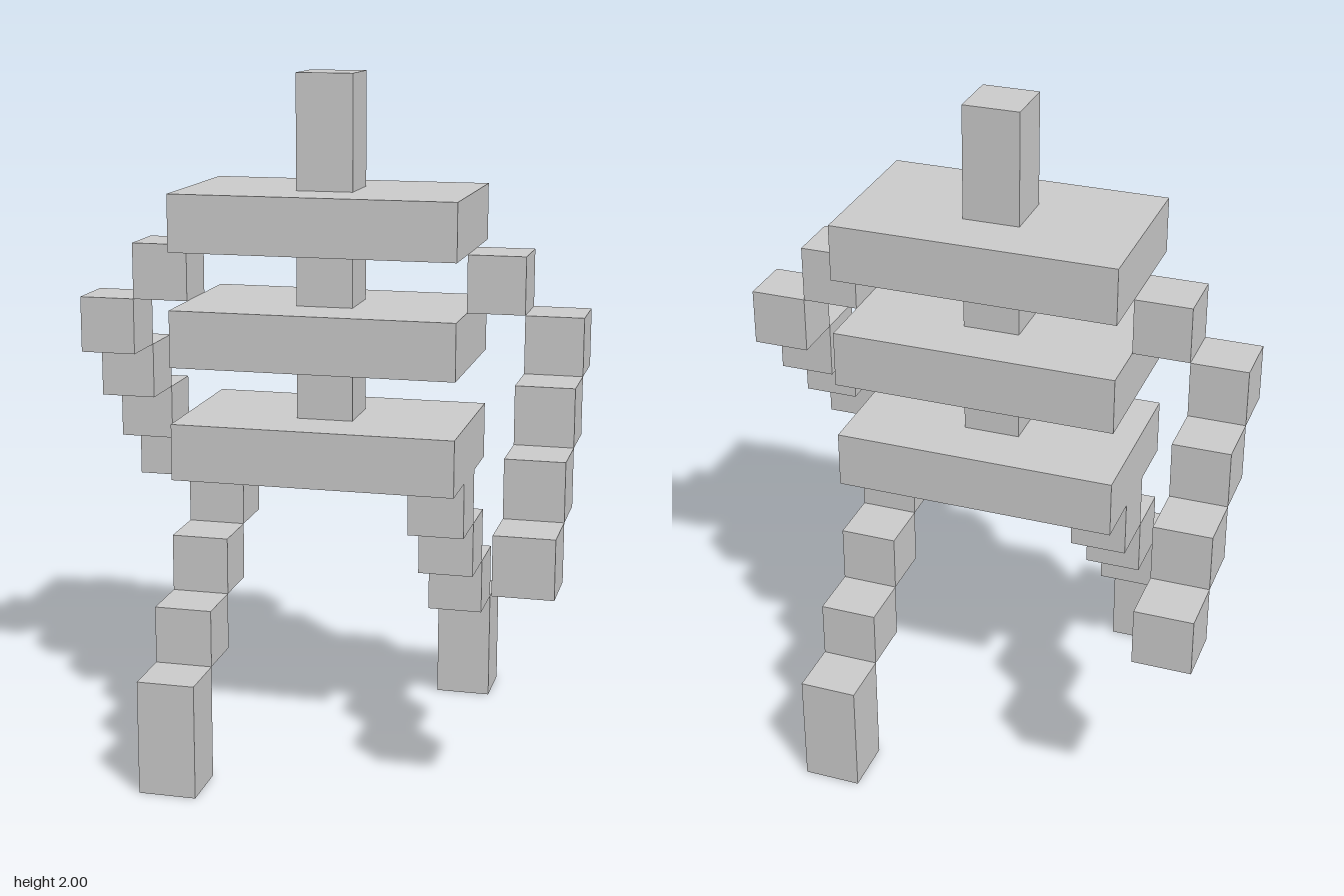
import * as THREE from 'three';

const U = 1 / 6; // one block

export function createModel() {
  const model = new THREE.Group();
  model.name = 'blockFigure';
  const material = new THREE.MeshStandardMaterial({ color: 0xcccccc, flatShading: true });

  // Box in block units: size, centre x and z, bottom y
  function block(parent, name, [w, h, d], x, bottom, z) {
    const mesh = new THREE.Mesh(new THREE.BoxGeometry(w * U, h * U, d * U), material);
    mesh.position.set(x * U, (bottom + h / 2) * U, z * U);
    mesh.name = name;
    parent.add(mesh);
  }
  const cube = [1, 1, 1];

  // Torso plates joined by the spine, head on top
  block(model, 'hipPlate', [5, 1, 3], 0, 5, 0);
  block(model, 'lowerSpine', cube, 0, 6, 0);
  block(model, 'waistPlate', [5, 1, 3], 0, 7, 0);
  block(model, 'upperSpine', cube, 0, 8, 0);
  block(model, 'shoulderPlate', [5, 1, 3], 0, 9, 0);
  block(model, 'head', [1, 2, 1], 0, 10, 0);

  // One arm with the opposite leg; the other pair is the same turned half round
  ['left', 'right'].forEach((side, i) => {
    const other = i ? 'left' : 'right';
    const limbs = new THREE.Group();
    limbs.name = `${side}ArmAnd${i ? 'Left' : 'Right'}Leg`;
    limbs.rotation.y = i * Math.PI;

    // Arm steps outward, then down and forward
    block(limbs, `${side}Shoulder`, cube, 3, 8, 0);
    for (let s = 0; s < 4; s++) {
      block(limbs, s === 3 ? `${side}Hand` : `${side}ArmSegment${s + 1}`, cube, 4, 7 - s, s);
    }

    // Leg steps down and forward to a tall foot
    for (let s = 0; s < 3; s++) block(limbs, `${other}LegSegment${s + 1}`, cube, -2, 4 - s, s);
    block(limbs, `${other}Foot`, [1, 2, 1], -2, 0, 3);

    model.add(limbs);
  });

  return model;
}
